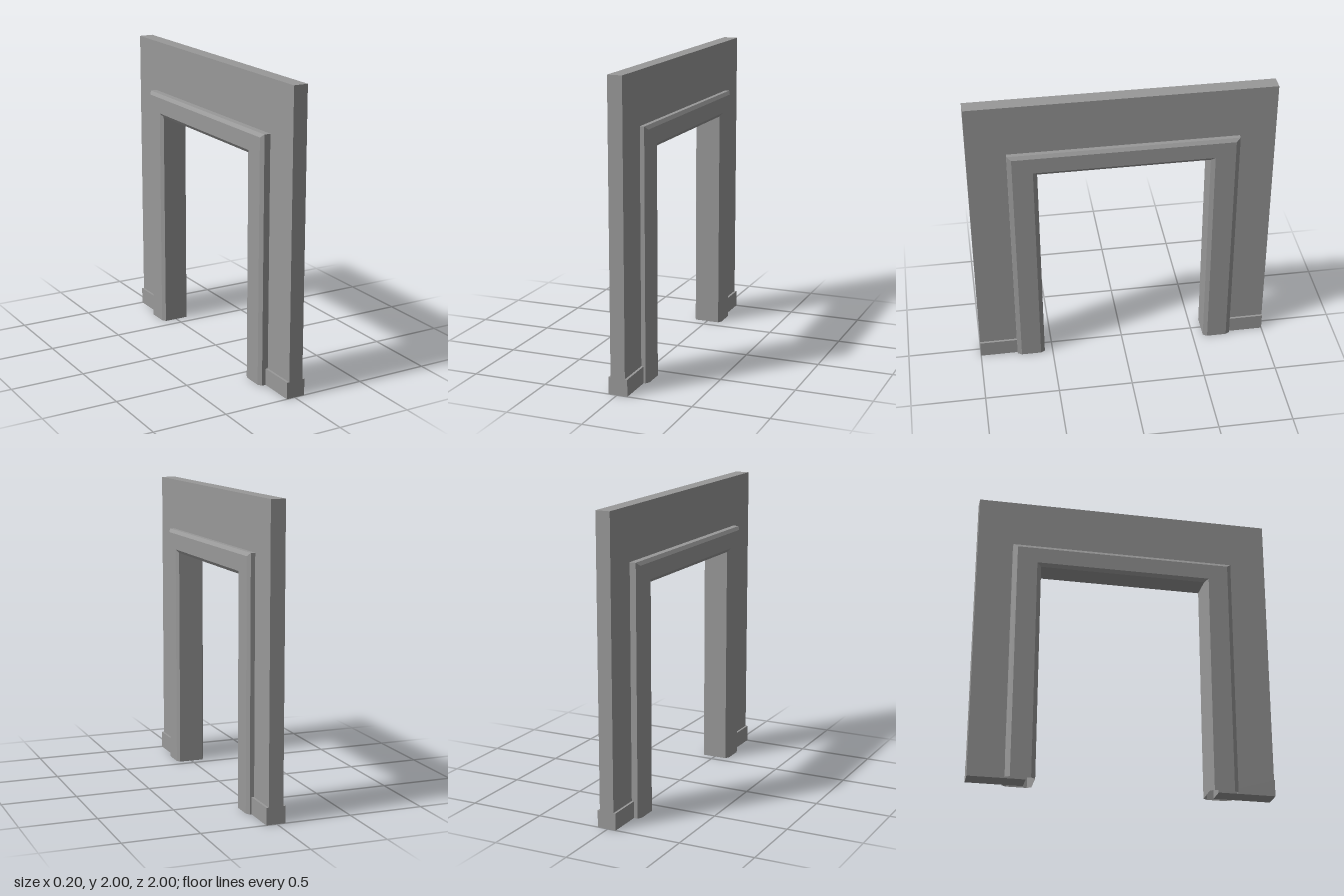
import * as THREE from 'three';

const material = new THREE.MeshStandardMaterial({ color: 0x999999, flatShading: true });
const shellMaterial = new THREE.MeshStandardMaterial({
  color: 0x999999, flatShading: true, side: THREE.DoubleSide,
});

// Wall panel with a doorway, drawn in the z-y plane and given thickness along x
function makeWall() {
  const outline = [[1, 0], [1, 2], [-1, 2], [-1, 0], [-0.63, 0], [-0.63, 1.56], [0.62, 1.56], [0.62, 0]];
  const shape = new THREE.Shape(outline.map(([z, y]) => new THREE.Vector2(z, y)));
  const geometry = new THREE.ExtrudeGeometry(shape, { depth: 0.097, bevelEnabled: false });
  geometry.rotateY(-Math.PI / 2).translate(0.055, 0, 0);
  return new THREE.Mesh(geometry, material);
}

// Chamfered casing profile swept up, over and down the opening with mitred corners
function makeCasing() {
  // [distance out from the opening, x]
  const profile = [
    [0.19, 0.055], [0.19, 0.084], [0.162, 0.1], [0.028, 0.1], [0, 0.084],
    [0, -0.084], [0.028, -0.1], [0.162, -0.1], [0.19, -0.084], [0.19, -0.042],
  ];
  // The head is slightly narrower than the legs
  const headY = (d) => 1.502 + d * 0.805;
  const stations = [
    ([d, x]) => [x, 0, 0.555 + d],
    ([d, x]) => [x, headY(d), 0.555 + d],
    ([d, x]) => [x, headY(d), -0.573 - d],
    ([d, x]) => [x, 0, -0.573 - d],
  ];
  const positions = [];
  for (let i = 0; i < stations.length - 1; i++) {
    for (let j = 0; j < profile.length - 1; j++) {
      const a = stations[i](profile[j]);
      const b = stations[i](profile[j + 1]);
      const c = stations[i + 1](profile[j + 1]);
      const d = stations[i + 1](profile[j]);
      positions.push(...a, ...b, ...c, ...a, ...c, ...d);
    }
  }
  const geometry = new THREE.BufferGeometry();
  geometry.setAttribute('position', new THREE.Float32BufferAttribute(positions, 3));
  geometry.computeVertexNormals();
  return new THREE.Mesh(geometry, shellMaterial);
}

// Skirting block wrapped around the foot of one wall leg
function makeSkirting(zMin, zMax) {
  const geometry = new THREE.BoxGeometry(0.128, 0.112, zMax - zMin);
  geometry.translate(0.007, 0.056, (zMin + zMax) / 2);
  return new THREE.Mesh(geometry, material);
}

export function createModel() {
  const group = new THREE.Group();
  group.name = 'doorwayWall';
  const add = (name, mesh) => {
    mesh.name = name;
    group.add(mesh);
  };
  add('wall', makeWall());
  add('doorCasing', makeCasing());
  add('frontSkirting', makeSkirting(0.62, 1));
  add('backSkirting', makeSkirting(-1, -0.63));
  return group;
}
